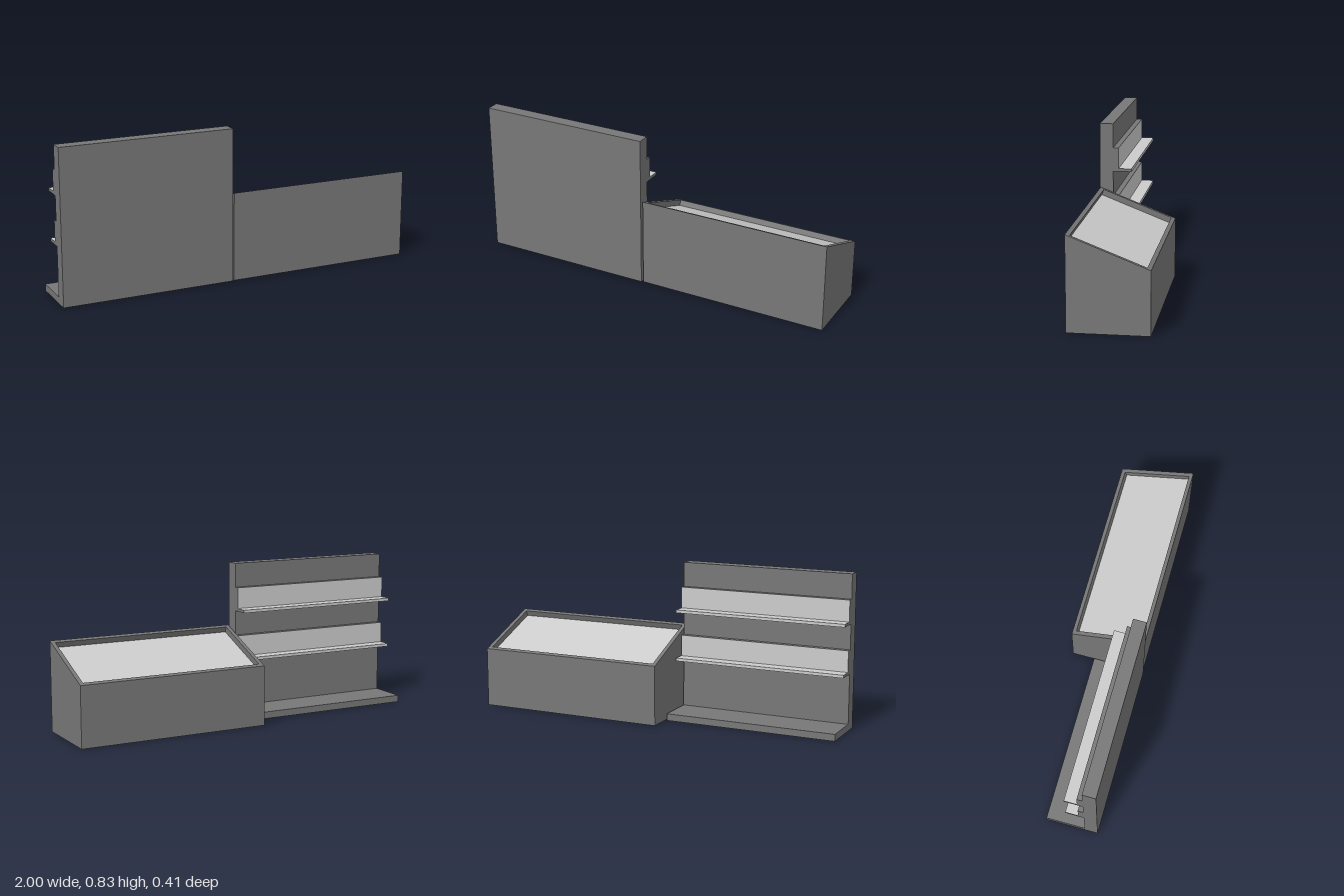
import * as THREE from 'three';

const dark = new THREE.MeshStandardMaterial({ color: 0x777777 });
const light = new THREE.MeshStandardMaterial({ color: 0xcccccc });

// Box given by its limits on each axis
function box(name, [x0, x1], [y0, y1], [z0, z1], material = dark) {
  const mesh = new THREE.Mesh(new THREE.BoxGeometry(x1 - x0, y1 - y0, z1 - z0), material);
  mesh.position.set((x0 + x1) / 2, (y0 + y1) / 2, (z0 + z1) / 2);
  mesh.name = name;
  return mesh;
}

// Side profile of [z, y] points extruded along x
function slab(name, points, x0, x1) {
  const shape = new THREE.Shape(points.map(([z, y]) => new THREE.Vector2(-z, y)));
  const geometry = new THREE.ExtrudeGeometry(shape, { depth: x1 - x0, bevelEnabled: false });
  geometry.rotateY(Math.PI / 2).translate(x0, 0, 0);
  const mesh = new THREE.Mesh(geometry, dark);
  mesh.name = name;
  return mesh;
}

// Upright back panel with a base ledge and two display shelves
function createShelfUnit() {
  const unit = new THREE.Group();
  unit.name = 'shelfUnit';
  const width = [-1, -0.053];
  const faceZ = 0.135;
  unit.add(box('uprightPanel', width, [0, 0.831], [faceZ, 0.207]));
  unit.add(box('baseLedge', width, [0, 0.037], [-0.08, faceZ]));

  // Material order: +x, -x, +y, -y, +z, -z
  const stripMaterials = [dark, dark, dark, dark, dark, light];
  const shelfMaterials = [dark, dark, light, dark, dark, light];
  for (const [level, y] of [['lower', 0.305], ['upper', 0.57]]) {
    unit.add(box(level + 'ShelfBackStrip', width, [y + 0.016, y + 0.13], [0.105, faceZ], stripMaterials));
    unit.add(box(level + 'Shelf', width, [y, y + 0.016], [0.035, faceZ], shelfMaterials));
  }
  return unit;
}

// Closed cabinet with a sloping top and a recessed display tray
function createDisplayCabinet() {
  const cabinet = new THREE.Group();
  cabinet.name = 'displayCabinet';
  const x0 = -0.043, x1 = 1, rim = 0.022, depth = 0.035;
  const back = [-0.207, 0.323], front = [0.202, 0.483];
  const angle = Math.atan2(front[1] - back[1], front[0] - back[0]);
  const length = Math.hypot(front[0] - back[0], front[1] - back[1]);

  // Point at a distance up the slope and a depth square to it
  const onSlope = (along, down) => [
    back[0] + along * Math.cos(angle) + down * Math.sin(angle),
    back[1] + along * Math.sin(angle) - down * Math.cos(angle),
  ];
  const outline = [[front[0], 0], [back[0], 0], back, front];
  const notched = [
    [front[0], 0], [back[0], 0], back,
    onSlope(rim, 0), onSlope(rim, depth),
    onSlope(length - rim, depth), onSlope(length - rim, 0), front,
  ];
  cabinet.add(slab('cabinetRightSide', outline, x0, x0 + rim));
  cabinet.add(slab('cabinetBody', notched, x0 + rim, x1 - rim));
  cabinet.add(slab('cabinetLeftSide', outline, x1 - rim, x1));

  // Pale lining on the tray floor
  const lining = new THREE.Mesh(
    new THREE.BoxGeometry(x1 - x0 - 2 * rim, 0.004, length - 2 * rim), light);
  const [z, y] = onSlope(length / 2, depth - 0.002);
  lining.position.set((x0 + x1) / 2, y, z);
  lining.rotation.x = -angle;
  lining.name = 'trayLining';
  cabinet.add(lining);
  return cabinet;
}

export function createModel() {
  const model = new THREE.Group();
  model.name = 'displayCounter';
  model.add(createShelfUnit(), createDisplayCabinet());
  return model;
}
